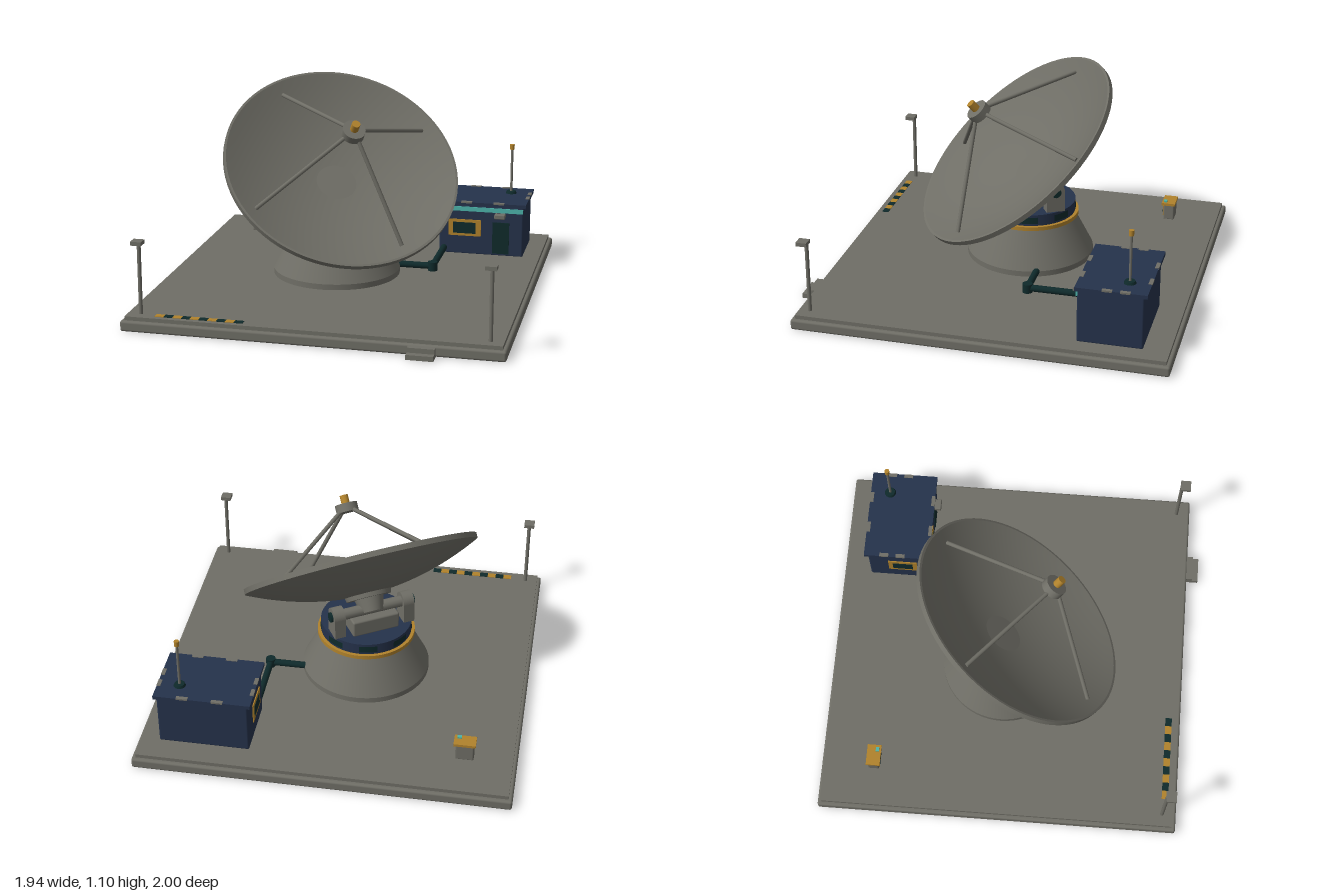
import * as THREE from 'three';
import { toCreasedNormals } from 'three/addons/utils/BufferGeometryUtils.js';
import { RoundedBoxGeometry } from 'three/addons/geometries/RoundedBoxGeometry.js';

const paint = (name, color) => Object.assign(new THREE.MeshStandardMaterial({ color }), { name });

export function createModel() {
  const model = new THREE.Group();
  model.name = 'dishStation';
  const grey = paint('warm grey', 0x6f6e66);
  const navy = paint('navy', 0x25324b);
  const gold = paint('gold', 0xb0822c);
  const dark = paint('dark green', 0x0f2a2b);
  const teal = paint('teal', 0x4cb3aa);

  const add = (parent, name, geo, mat, x = 0, y = 0, z = 0) => {
    const mesh = new THREE.Mesh(geo, mat);
    mesh.name = name;
    mesh.position.set(x, y, z);
    parent.add(mesh);
    return mesh;
  };
  // box given by its min and max corners
  const box = (parent, name, mat, [x0, x1], [y0, y1], [z0, z1], r = 0) => {
    const s = [x1 - x0, y1 - y0, z1 - z0];
    const geo = r ? new RoundedBoxGeometry(...s, 2, r) : new THREE.BoxGeometry(...s);
    return add(parent, name, geo, mat, (x0 + x1) / 2, (y0 + y1) / 2, (z0 + z1) / 2);
  };
  // upright cylinder between two heights
  const post = (parent, name, mat, x, z, y0, y1, r, rTop = r, n = 16) =>
    add(parent, name, new THREE.CylinderGeometry(rTop, r, y1 - y0, n), mat, x, (y0 + y1) / 2, z);
  // rod between two points
  const rod = (parent, name, mat, a, b, r) => {
    const from = new THREE.Vector3(...a), to = new THREE.Vector3(...b);
    const dir = to.clone().sub(from);
    const mesh = add(parent, name, new THREE.CylinderGeometry(r, r, dir.length(), 12), mat);
    mesh.position.copy(from).addScaledVector(dir, 0.5);
    mesh.quaternion.setFromUnitVectors(new THREE.Vector3(0, 1, 0), dir.normalize());
    return mesh;
  };
  const lathe = (pts, n = 64) =>
    new THREE.LatheGeometry(pts.map(([x, y]) => new THREE.Vector2(x, y)), n);

  // Base slab, upper deck and entry step
  box(model, 'baseSlab', grey, [-0.97, 0.97], [0, 0.055], [-1, 0.935], 0.012);
  box(model, 'deck', grey, [-0.95, 0.95], [0.04, 0.075], [-0.98, 0.915]);
  box(model, 'upperStep', grey, [0.495, 0.63], [0, 0.05], [0.92, 0.967]);
  box(model, 'lowerStep', grey, [0.495, 0.63], [0, 0.025], [0.92, 1]);

  // Hazard stripe on the deck
  for (let i = 0; i < 10; i++) {
    const x = -0.8 + i * 0.0455;
    box(model, 'hazardStripe', i % 2 ? dark : gold, [x, x + 0.0455], [0.074, 0.078], [0.853, 0.888]);
  }

  // Corner light posts
  for (const x of [-0.883, 0.883]) {
    post(model, 'lightPost', grey, x, 0.858, 0.075, 0.45, 0.01);
    box(model, 'lightHead', grey, [x - 0.028, x + 0.028], [0.443, 0.463], [0.85, 0.905]);
  }

  // Pedestal and turntable
  const pedestal = new THREE.Group();
  pedestal.name = 'pedestal';
  pedestal.position.set(-0.09, 0, -0.05);
  model.add(pedestal);
  add(pedestal, 'pedestalCone', toCreasedNormals(
    lathe([[0.34, 0.07], [0.34, 0.105], [0.237, 0.306], [0, 0.306]]), 0.3), grey);
  post(pedestal, 'goldRing', gold, 0, 0, 0.303, 0.324, 0.26, 0.26, 64);
  post(pedestal, 'turntable', navy, 0, 0, 0.324, 0.385, 0.242, 0.242, 64);
  for (let i = 0; i < 8; i++) {
    add(pedestal, 'turntablePanel', new THREE.CylinderGeometry(0.2445, 0.2445, 0.036, 8, 1, true,
      i * Math.PI / 4, 0.4), dark, 0, 0.354, 0);
  }

  // Yoke turned to the dish heading
  const heading = THREE.MathUtils.degToRad(31);
  const yoke = new THREE.Group();
  yoke.name = 'yoke';
  yoke.position.set(-0.127, 0.495, -0.11);
  yoke.rotation.y = heading;
  model.add(yoke);
  const armShape = new THREE.Shape();
  armShape.moveTo(-0.05, -0.112).lineTo(0.05, -0.112).lineTo(0.05, 0);
  armShape.absarc(0, 0, 0.05, 0, Math.PI, false);
  armShape.lineTo(-0.05, -0.112);
  const armGeo = new THREE.ExtrudeGeometry(armShape, { depth: 0.06, bevelEnabled: false, curveSegments: 16 });
  armGeo.translate(0, 0, -0.03).rotateY(Math.PI / 2);
  for (const s of [-1, 1]) {
    add(yoke, 'yokeArm', armGeo, grey, s * 0.195, 0, 0);
    rod(yoke, 'pivotCap', dark, [s * 0.22, 0, 0], [s * 0.237, 0, 0], 0.027);
  }
  rod(yoke, 'elevationAxle', grey, [-0.18, 0, 0], [0.18, 0, 0], 0.03);
  box(yoke, 'driveHousing', grey, [-0.13, 0.13], [-0.112, -0.02], [-0.07, 0.05], 0.01);

  // Dish, built around its own axis (local y) with the rim plane at y = 0
  const dish = new THREE.Group();
  dish.name = 'dish';
  dish.position.set(-0.042, 0.685, 0.03);
  dish.rotation.set(THREE.MathUtils.degToRad(40.7), heading, 0, 'YXZ');
  model.add(dish);
  const R = 0.63;
  const bowl = (radius, rimY, depth) => Array.from({ length: 17 }, (_, i) => {
    const s = i / 16;
    return [radius * s, rimY - depth * (1 - s * s)];
  });
  add(dish, 'dishBack', lathe(bowl(R, -0.028, 0.15), 80), grey);
  add(dish, 'dishRim', lathe([[R, -0.028], [R, 0]], 80), grey);
  add(dish, 'dishLip', lathe([[R, 0], [R - 0.012, 0]], 80), grey);
  add(dish, 'dishFace', lathe(bowl(R - 0.012, 0, 0.16).reverse(), 80), grey);
  post(dish, 'backCollar', grey, 0, 0, -0.195, -0.155, 0.12, 0.13, 40);
  post(dish, 'backHub', grey, 0, 0, -0.27, -0.19, 0.06, 0.08, 32);

  // Feed and its four struts
  for (let i = 0; i < 4; i++) {
    const a = THREE.MathUtils.degToRad(22 + 90 * i);
    const c = Math.cos(a), s = -Math.sin(a);
    rod(dish, 'feedStrut', grey, [c * 0.55, -0.03, s * 0.55], [c * 0.035, 0.285, s * 0.035], 0.011);
  }
  post(dish, 'feedHub', grey, 0, 0, 0.27, 0.315, 0.06, 0.06, 32);
  post(dish, 'feedTip', gold, 0, 0, 0.315, 0.362, 0.022, 0.022, 16);

  // Equipment hut
  const hut = new THREE.Group();
  hut.name = 'hut';
  model.add(hut);
  box(hut, 'hutBody', navy, [0.387, 0.857], [0.07, 0.357], [-0.848, -0.515], 0.01);
  box(hut, 'hutRoof', navy, [0.37, 0.87], [0.354, 0.374], [-0.865, -0.505]);
  box(hut, 'tealBand', teal, [0.39, 0.855], [0.321, 0.346], [-0.518, -0.51]);
  box(hut, 'door', dark, [0.687, 0.78], [0.085, 0.265], [-0.518, -0.51]);
  box(hut, 'doorLamp', grey, [0.7, 0.76], [0.293, 0.32], [-0.515, -0.472], 0.006);
  box(hut, 'windowFrame', gold, [0.44, 0.622], [0.178, 0.272], [-0.518, -0.51]);
  box(hut, 'windowGlass', dark, [0.466, 0.592], [0.193, 0.256], [-0.516, -0.507]);
  box(hut, 'sideWindowFrame', gold, [0.382, 0.39], [0.165, 0.272], [-0.74, -0.58]);
  box(hut, 'sideWindowGlass', dark, [0.379, 0.388], [0.188, 0.25], [-0.715, -0.605]);
  // roof edge clips
  for (const x of [0.54, 0.72]) for (const z of [-0.856, -0.514])
    box(hut, 'roofClip', grey, [x - 0.03, x + 0.03], [0.368, 0.377], [z - 0.01, z + 0.01]);
  for (const x of [0.379, 0.861]) for (const z of [-0.755, -0.665])
    box(hut, 'roofClip', grey, [x - 0.01, x + 0.01], [0.368, 0.377], [z - 0.025, z + 0.025]);
  // roof antenna
  post(hut, 'antennaFoot', dark, 0.755, -0.757, 0.372, 0.387, 0.032, 0.026);
  post(hut, 'antennaMast', grey, 0.755, -0.757, 0.38, 0.63, 0.007);
  post(hut, 'antennaTip', gold, 0.755, -0.757, 0.628, 0.657, 0.013);

  // Conduit from the pedestal to the hut
  rod(model, 'conduit', dark, [0.2, 0.102, -0.16], [0.415, 0.102, -0.16], 0.018);
  rod(model, 'conduit', dark, [0.415, 0.102, -0.16], [0.415, 0.102, -0.52], 0.018);
  post(model, 'conduitElbow', dark, 0.415, -0.16, 0.078, 0.126, 0.026);

  // Small service cabinet
  const cabinet = new THREE.Group();
  cabinet.name = 'cabinet';
  model.add(cabinet);
  box(cabinet, 'cabinetBody', grey, [-0.75, -0.655], [0.07, 0.162], [-0.745, -0.685], 0.008);
  box(cabinet, 'cabinetLid', gold, [-0.758, -0.645], [0.16, 0.174], [-0.75, -0.675]);
  box(cabinet, 'cabinetFrame', gold, [-0.742, -0.663], [0.092, 0.15], [-0.688, -0.681]);
  box(cabinet, 'cabinetScreen', dark, [-0.732, -0.675], [0.108, 0.137], [-0.686, -0.678]);
  box(cabinet, 'cabinetLight', teal, [-0.682, -0.66], [0.172, 0.183], [-0.703, -0.685]);

  return model;
}
